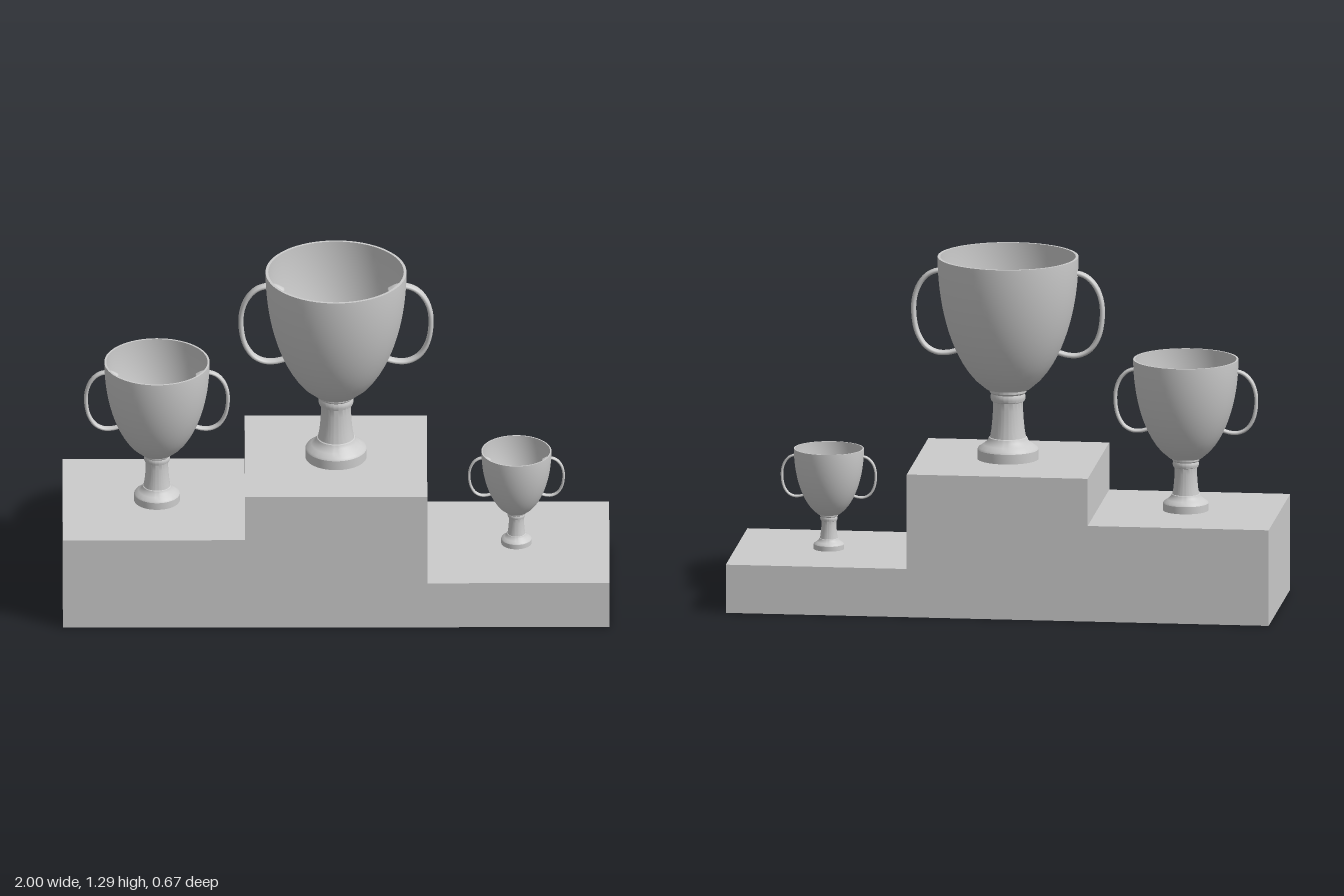
import * as THREE from 'three';
import { toCreasedNormals } from 'three/addons/utils/BufferGeometryUtils.js';

const grey = new THREE.MeshStandardMaterial({ color: 0xcccccc });
const thin = new THREE.MeshStandardMaterial({ color: 0xcccccc, side: THREE.DoubleSide });

const RIM_Y = 0.755, RIM_R = 0.258, BOWL_DEPTH = 0.519;

function add(parent, name, geometry, material = grey) {
  const mesh = new THREE.Mesh(geometry, material);
  mesh.name = name;
  parent.add(mesh);
  return mesh;
}

function lathe(points) {
  const profile = points.map(([r, y]) => new THREE.Vector2(r, y));
  return toCreasedNormals(new THREE.LatheGeometry(profile, 64), 0.5);
}

// Elliptical cup wall radius at a height
const wallRadius = (y) => RIM_R * Math.sqrt(1 - ((RIM_Y - y) / BOWL_DEPTH) ** 2);

function createTrophy(name) {
  const trophy = new THREE.Group();
  trophy.name = name;

  // Foot, flared stem and collar
  add(trophy, 'stem', lathe([
    [0, 0], [0.112, 0], [0.112, 0.036], [0.108, 0.043], [0.09, 0.055], [0.075, 0.068],
    [0.07, 0.08], [0.066, 0.082], [0.061, 0.11], [0.057, 0.15], [0.055, 0.185], [0.055, 0.214],
    [0.061, 0.217], [0.064, 0.226], [0.064, 0.236], [0.061, 0.244],
    [0.067, 0.25], [0.067, 0.264], [0, 0.264],
  ]));

  // Hollow bowl: outer wall, thin rim, inner wall, flat floor
  const outer = [[0.058, 0.258]], inner = [];
  const steps = 24;
  for (let i = 0; i <= steps; i++) {
    const t = Math.sin((i / steps) * Math.PI / 2);
    const y = 0.262 + (RIM_Y - 0.262) * t;
    outer.push([wallRadius(y), y]);
    inner.unshift([wallRadius(y) - 0.01, y + 0.006 * (1 - t)]);
  }
  add(trophy, 'bowl', lathe([...outer, ...inner, [0.056, 0.266], [0, 0.266]]), thin);

  // Ear-shaped band handles
  const path = new THREE.CatmullRomCurve3([
    [0.197, 0.681], [0.222, 0.694], [0.258, 0.697], [0.294, 0.682], [0.326, 0.645],
    [0.345, 0.59], [0.346, 0.52], [0.332, 0.459], [0.302, 0.413], [0.262, 0.392],
    [0.222, 0.391], [0.18, 0.402],
  ].map(([x, y]) => new THREE.Vector3(x, y, 0)));
  const radius = 0.0095;
  for (const side of [1, -1]) {
    const handle = new THREE.Group();
    handle.name = side > 0 ? 'leftHandle' : 'rightHandle';
    add(handle, 'handleBand', new THREE.TubeGeometry(path, 48, radius, 12));
    for (const t of [0, 1]) {
      add(handle, 'handleEnd', new THREE.SphereGeometry(radius, 12, 8)).position.copy(path.getPoint(t));
    }
    handle.scale.z = 2;
    if (side < 0) handle.rotation.y = Math.PI;
    trophy.add(handle);
  }
  return trophy;
}

export function createModel() {
  const model = new THREE.Group();
  model.name = 'podiumWithTrophies';

  // Each step: centre x, height, trophy x and trophy scale
  const steps = [
    ['first', 0, 0.533, 0, 1],
    ['second', -0.6667, 0.357, -0.655, 0.747],
    ['third', 0.6667, 0.18, 0.66, 0.497],
  ];
  for (const [name, x, height, trophyX, scale] of steps) {
    add(model, name + 'Step', new THREE.BoxGeometry(0.6667, height, 0.666))
      .position.set(x, height / 2, -0.003);
    const trophy = createTrophy(name + 'Trophy');
    trophy.position.set(trophyX, height, -0.002);
    trophy.scale.setScalar(scale);
    model.add(trophy);
  }
  return model;
}
